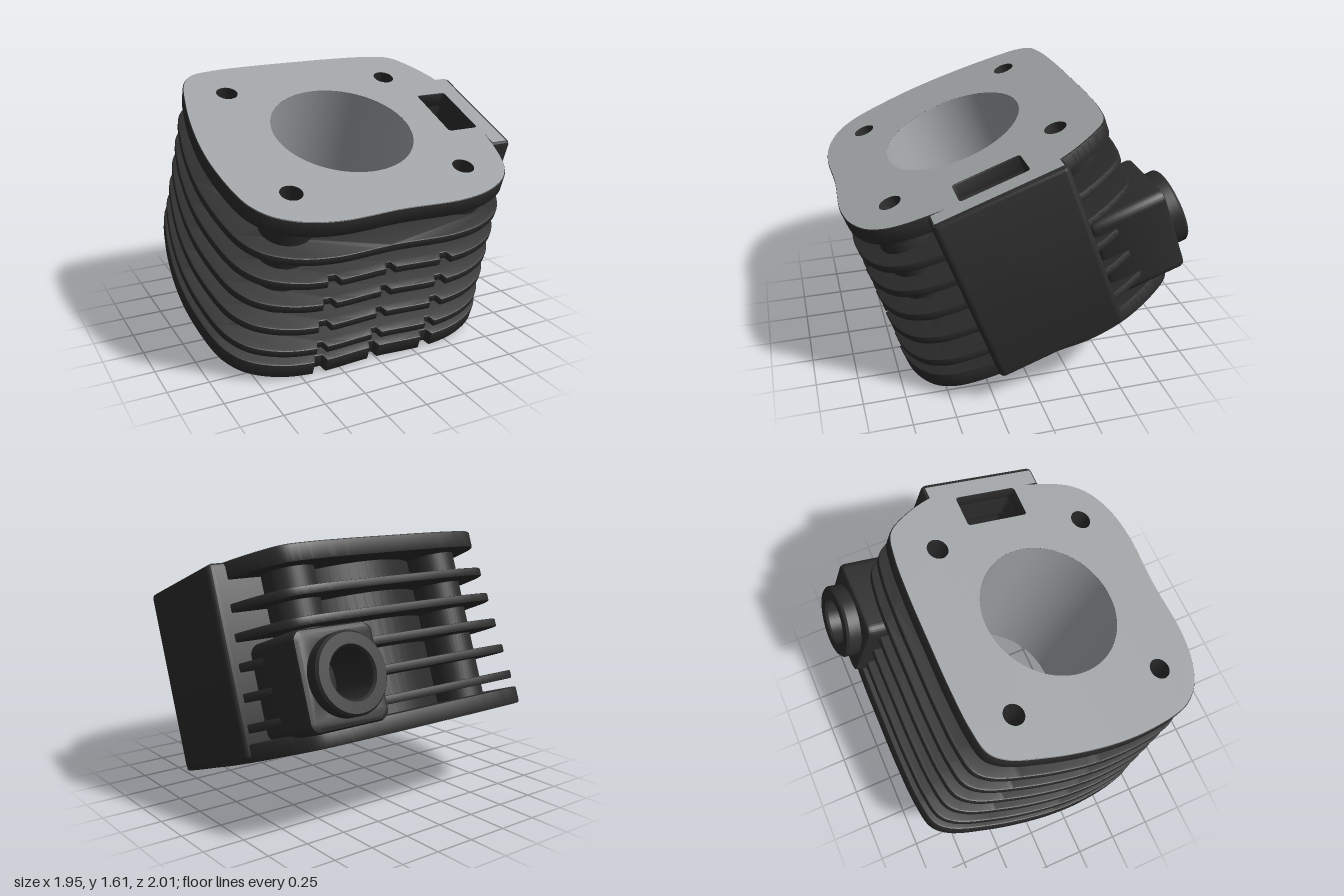
import * as THREE from 'three';
import { toCreasedNormals } from 'three/addons/utils/BufferGeometryUtils.js';

const HEIGHT = 1.112, BORE = 0.43, BOLT = 0.065;
const BOLTS = [[0.545, 0.505], [-0.545, 0.505], [0.545, -0.505], [-0.545, -0.505]];
const NOTCHES = [-0.363, 0, 0.363];

// Plate outline as [x, depth], front middle round to back middle; the right side bulges over the passage.
const LEFT = [[0.37, 0.787], [0.57, 0.75], [0.72, 0.67], [0.8, 0.57], [0.84, 0.46], [0.88, 0.2], [0.885, 0],
  [0.87, -0.2], [0.835, -0.42], [0.77, -0.66], [0.7, -0.745], [0.55, -0.78], [0.3, -0.795]];
const RIGHT = LEFT.map(([x, d]) => [x + 0.07 * Math.exp(-(((d + 0.33) / 0.25) ** 2)), d]);
const OUTLINE = new THREE.CatmullRomCurve3(
  [[0, 0.777], ...RIGHT, [0, -0.797], ...LEFT.map(([x, d]) => [-x, d]).reverse()]
    .map(([x, d]) => new THREE.Vector3(x, -d, 0)), true).getSpacedPoints(400).slice(0, -1);

const dark = new THREE.MeshStandardMaterial({ color: 0x2c2c2c, side: THREE.DoubleSide });
dark.name = 'dark casting';
const steel = new THREE.MeshStandardMaterial({ color: 0xa0a4a6, side: THREE.DoubleSide });
steel.name = 'machined metal';

function add(parent, name, geometry, material = dark) {
  const mesh = new THREE.Mesh(geometry, material);
  mesh.name = name;
  parent.add(mesh);
  return mesh;
}

function roundedRect(x0, x1, y0, y1, r, Type = THREE.Shape) {
  const s = new Type();
  s.absarc(x1 - r, y1 - r, r, 0, Math.PI / 2);
  s.absarc(x0 + r, y1 - r, r, Math.PI / 2, Math.PI);
  s.absarc(x0 + r, y0 + r, r, Math.PI, Math.PI * 1.5);
  s.absarc(x1 - r, y0 + r, r, Math.PI * 1.5, Math.PI * 2);
  s.closePath();
  return s;
}

const circle = (x, y, r) => new THREE.Path().absarc(x, y, r, 0, Math.PI * 2);
const windowHole = (g = 0) => roundedRect(0.66 - g, 0.865 + g, -0.16 - g, 0.25 + g, 0.02, THREE.Path);

// Outline scaled for its height, with front notches and room for the port if wanted, and all the holes
function plateShape(h, { notched = false, port = false, inset = 0, gap = 0.002 } = {}) {
  const k = 1 + 0.075 * (1 - h / HEIGHT) - inset;
  const pts = OUTLINE.map(p => {
    const x = p.x * k;
    let y = p.y * k;
    if (notched && y < -0.6 && NOTCHES.some(n => Math.abs(x - n) < 0.03)) y += 0.045;
    if (port && x > 0.42 && x < 0.8) y = Math.min(y, 0.61);
    return new THREE.Vector2(x, y);
  });
  const s = new THREE.Shape(pts);
  s.holes.push(circle(0, 0, BORE + gap), windowHole(),
    ...BOLTS.map(([x, d]) => circle(x, -d, BOLT + gap / 2)));
  return s;
}

// Extrudes from 0 to depth, keeping the outline size in spite of the bevel
function extrude(shape, depth, bevel) {
  return toCreasedNormals(new THREE.ExtrudeGeometry(shape, {
    depth: depth - 2 * bevel, bevelEnabled: bevel > 0, bevelSize: bevel, bevelThickness: bevel,
    bevelOffset: -bevel, bevelSegments: 2, curveSegments: 32,
  }).translate(0, 0, bevel), 0.5);
}
const upright = (shape, h, depth, bevel) =>
  extrude(shape, depth, bevel).rotateX(-Math.PI / 2).translate(0, h, 0);

export function createModel() {
  const model = new THREE.Group();
  model.name = 'engineCylinder';
  const body = new THREE.Group();
  body.name = 'tiltedBody';
  body.rotation.x = THREE.MathUtils.degToRad(20);
  body.position.set(-0.03, 0.287, -0.11);
  model.add(body);

  // End plates and cooling fins
  add(body, 'basePlate', upright(plateShape(0, { notched: true }), 0, 0.1, 0.008));
  add(body, 'topPlate', upright(plateShape(HEIGHT), HEIGHT - 0.1, 0.1, 0.008));
  [0.182, 0.35, 0.518, 0.684, 0.85].forEach((h, i) => {
    const shape = plateShape(h, { notched: i < 4, port: i < 3 });
    add(body, 'coolingFin', upright(shape, h - 0.025, 0.05, 0.008));
  });

  // Machined end faces
  const topFace = new THREE.ShapeGeometry(plateShape(HEIGHT, { inset: 0.006, gap: 0 }), 48);
  add(body, 'topFace', topFace.rotateX(-Math.PI / 2).translate(0, HEIGHT + 0.002, 0), steel);
  const bottomFace = new THREE.ShapeGeometry(plateShape(0, { notched: true, inset: 0.006, gap: 0 }), 48);
  bottomFace.rotateX(-Math.PI / 2).translate(0, -0.002, 0);
  bottomFace.setIndex(Array.from(bottomFace.index.array).reverse());
  bottomFace.computeVertexNormals();
  add(body, 'bottomFace', bottomFace, steel);
  const strip = new THREE.PlaneGeometry(0.1, 0.74).rotateX(-Math.PI / 2);
  add(body, 'passageTopFace', strip.translate(0.92, HEIGHT + 0.002, -0.04), steel);

  // Barrel with its bore
  const ring = new THREE.Shape().absarc(0, 0, 0.61, 0, Math.PI * 2);
  ring.holes.push(circle(0, 0, BORE + 0.002));
  add(body, 'barrel', upright(ring, 0.05, HEIGHT - 0.1, 0));
  const bore = new THREE.CylinderGeometry(BORE, BORE, HEIGHT + 0.003, 72, 1, true);
  add(body, 'boreWall', bore.translate(0, HEIGHT / 2, 0), steel);

  // Bolt bosses and bolt holes
  for (const [x, d] of BOLTS) {
    const boss = new THREE.CylinderGeometry(0.155, 0.155, HEIGHT - 0.1, 40, 1, true);
    add(body, 'boltBoss', boss.translate(x, HEIGHT / 2, d));
    const hole = new THREE.CylinderGeometry(BOLT, BOLT, HEIGHT, 32, 1, true);
    add(body, 'boltHole', hole.translate(x, HEIGHT / 2, d));
  }

  // Side passage block with a slot right through it
  const block = roundedRect(0.58, 1, -0.35, 0.43, 0.035);
  block.holes.push(windowHole(0.001));
  add(body, 'sidePassage', upright(block, 0.02, HEIGHT - 0.021, 0.025));

  // Rear port: housing, collar and blind bore
  const housing = roundedRect(0.345, 0.87, 0.08, 0.63, 0.06);
  housing.holes.push(circle(0.605, 0.357, 0.145));
  add(body, 'portHousing', extrude(housing, 0.46, 0.03).translate(0, 0, -0.91));
  const collar = [[0.228, 0.88], [0.228, 0.985], [0.215, 1], [0.152, 1], [0.14, 0.985], [0.14, 0.62], [0, 0.62]];
  const lathe = new THREE.LatheGeometry(collar.map(p => new THREE.Vector2(...p)), 56);
  add(body, 'portCollar', toCreasedNormals(lathe, 0.5).rotateX(-Math.PI / 2).translate(0.605, 0.357, 0));

  return model;
}
